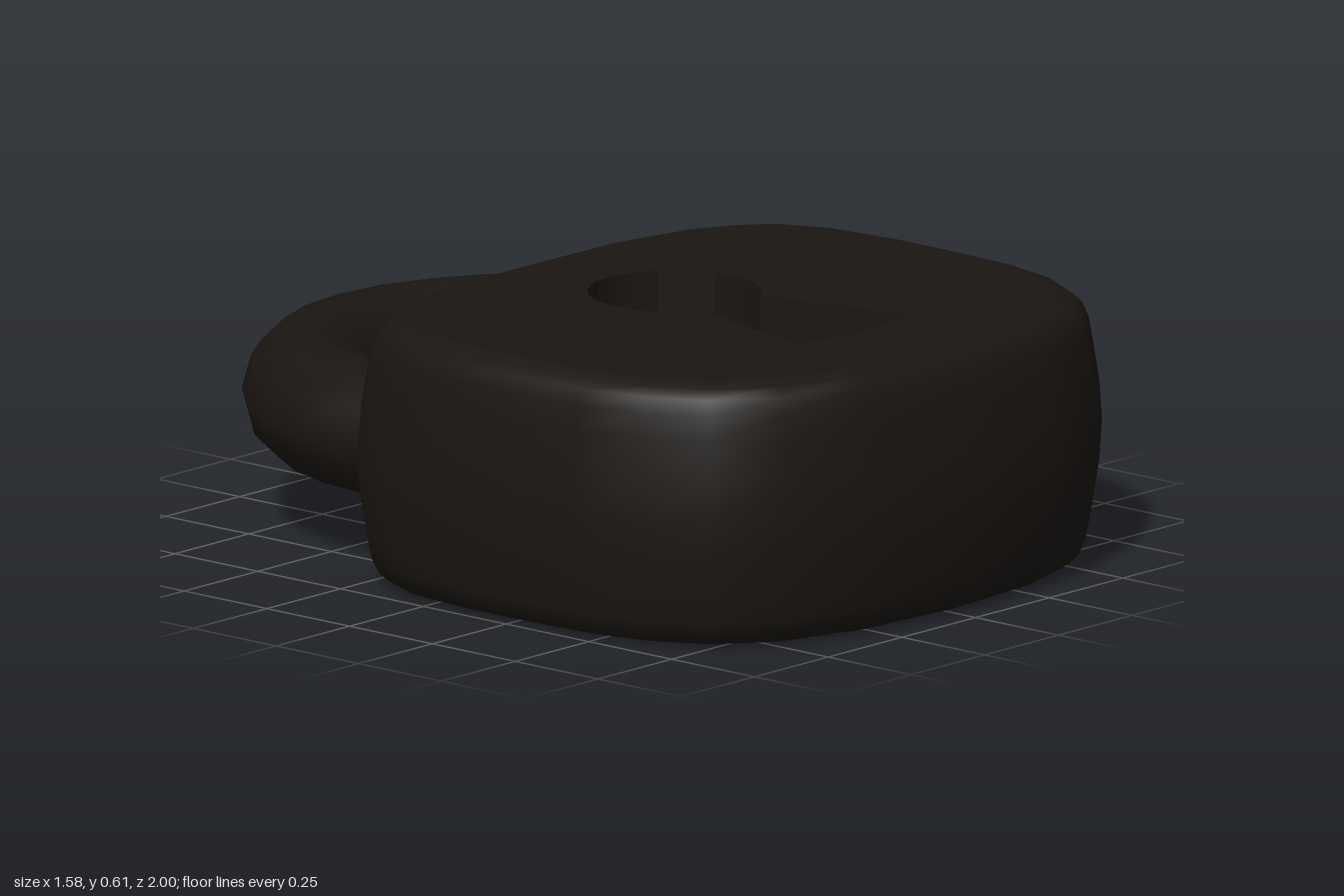
import * as THREE from 'three';

const material = new THREE.MeshStandardMaterial({ color: 0x1a1612 });
const HEIGHT = 0.61, MID = HEIGHT / 2, POCKET_DEPTH = 0.14;

function add(parent, name, geometry) {
  const mesh = new THREE.Mesh(geometry, material);
  mesh.name = name;
  parent.add(mesh);
  return mesh;
}

// Skin between closed rings of equal point count; outlines are (x, -z) counter-clockwise
function loft(rings) {
  const n = rings[0].points.length, pos = [], index = [];
  for (const { points, y } of rings) for (const p of points) pos.push(p.x, y, -p.y);
  for (let r = 0; r < rings.length - 1; r++) {
    for (let i = 0; i < n; i++) {
      const a = r * n + i, b = r * n + (i + 1) % n;
      index.push(a, b, b + n, a, b + n, a + n);
    }
  }
  const g = new THREE.BufferGeometry();
  g.setAttribute('position', new THREE.Float32BufferAttribute(pos, 3));
  g.setIndex(index);
  g.computeVertexNormals();
  return g;
}

// Flat face at height y, facing up or down
function flat(points, y, up = true, hole = null) {
  const pts = up ? points : points.map(p => new THREE.Vector2(p.x, -p.y));
  const shape = new THREE.Shape(pts);
  if (hole) shape.holes.push(new THREE.Path(hole));
  return new THREE.ShapeGeometry(shape).rotateX(up ? -Math.PI / 2 : Math.PI / 2).translate(0, y, 0);
}

// Body outline: half from the front centre to the back centre, then mirrored
function bodyOutline() {
  const half = [[0, 0.995], [0.31, 0.97], [0.53, 0.9], [0.665, 0.79], [0.745, 0.64], [0.78, 0.48],
    [0.79, 0.25], [0.79, 0.09], [0.77, -0.1], [0.71, -0.235], [0.635, -0.3], [0.53, -0.355],
    [0.31, -0.4], [0, -0.405]];
  const mirrored = half.slice(1, -1).reverse().map(([x, z]) => [-x, z]);
  return [...half, ...mirrored].map(([x, z]) => new THREE.Vector2(x, -z));
}

// Pull the outline inward by a fixed amount on every side
function inset(points, d) {
  const cy = -0.295, sx = 1 - d / 0.79, sy = 1 - d / 0.7;
  return points.map(p => new THREE.Vector2(p.x * sx, cy + (p.y - cy) * sy));
}

function keyholeOutline() {
  const s = new THREE.Shape();
  const a = -1.05;
  s.absarc(0, -0.09, 0.197, a, Math.PI - a, false);
  s.lineTo(-0.19, -0.62);
  s.quadraticCurveTo(0, -0.71, 0.19, -0.62);
  return s.getPoints(12);
}

export function createModel() {
  const model = new THREE.Group();
  model.name = 'padlock';

  // Bulging body with rounded rims
  const body = new THREE.Group();
  body.name = 'body';
  model.add(body);
  const outline = bodyOutline();
  const lower = [[0.095, 0], [0.062, 0.01], [0.042, 0.03], [0.028, 0.065], [0.019, 0.12], [0.006, 0.21]];
  const profile = [...lower, [0, MID], ...lower.slice().reverse().map(([d, y]) => [d, HEIGHT - y])];
  add(body, 'bodySide', loft(profile.map(([d, y]) => ({ points: inset(outline, d), y }))));
  const rim = inset(outline, lower[0][0]);
  const keyhole = keyholeOutline();
  add(body, 'bodyFace', flat(rim, HEIGHT, true, keyhole));
  add(body, 'bodyBack', flat(rim, 0, false));

  // Recessed keyhole
  const floor = HEIGHT - POCKET_DEPTH;
  const walls = loft([{ points: keyhole, y: HEIGHT }, { points: keyhole, y: floor }]).toNonIndexed();
  walls.computeVertexNormals();
  add(body, 'keyholeWall', walls);
  add(body, 'keyholeFloor', flat(keyhole, floor));

  // Shackle: half ring with two legs running into the body
  const shackle = new THREE.Group();
  shackle.name = 'shackle';
  shackle.position.set(0, MID, -0.36);
  model.add(shackle);
  const R = 0.487, r = 0.153;
  add(shackle, 'shackleArch', new THREE.TorusGeometry(R, r, 12, 14, Math.PI).rotateX(-Math.PI / 2));
  for (const side of [1, -1]) {
    const leg = new THREE.CylinderGeometry(r, r, 0.16, 12).rotateX(Math.PI / 2);
    add(shackle, side > 0 ? 'leftLeg' : 'rightLeg', leg).position.set(side * R, 0, 0.08);
  }
  return model;
}
